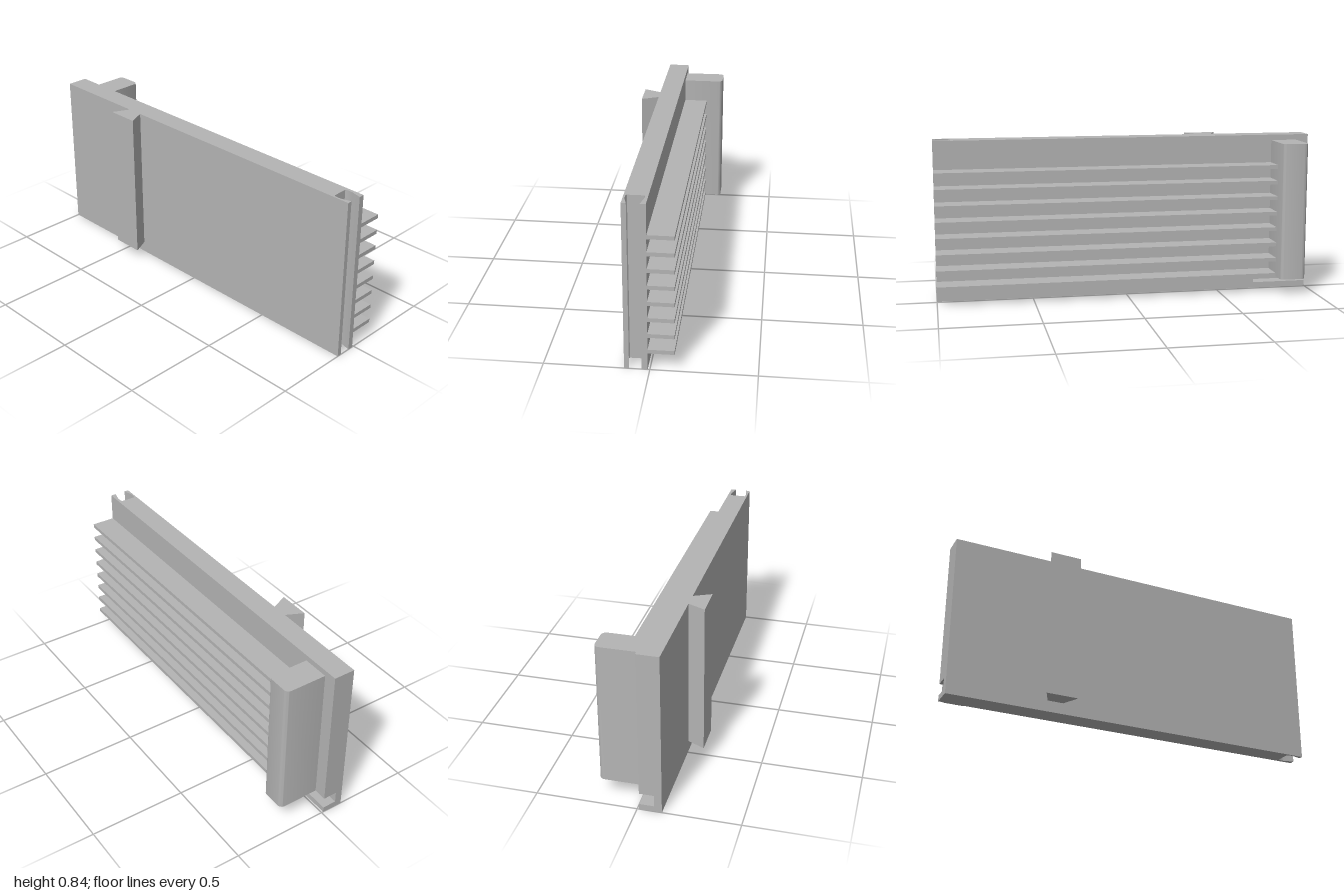
import * as THREE from 'three';
import { toCreasedNormals } from 'three/addons/utils/BufferGeometryUtils.js';

const grey = new THREE.MeshStandardMaterial({ color: 0xb4b4b4 });
grey.name = 'plain grey';

const IN = -0.12, OUT = -0.01; // side faces of the main plate
const TOP = 0.84, NOTCH_Z = -0.71;

function outline(points) {
  return new THREE.Shape(points.map(([a, b]) => new THREE.Vector2(a, b)));
}

// Extrudes a plan drawn as (x, -z) upwards from y0 to y1
function upright(shape, y0, y1) {
  const g = new THREE.ExtrudeGeometry(shape, { depth: y1 - y0, bevelEnabled: false, curveSegments: 8 });
  g.rotateX(-Math.PI / 2);
  g.translate(0, y0, 0);
  return toCreasedNormals(g, 0.6);
}

export function createModel() {
  const model = new THREE.Group();
  model.name = 'finnedPanel';
  const add = (name, geometry) => {
    const mesh = new THREE.Mesh(geometry, grey);
    mesh.name = name;
    model.add(mesh);
    return mesh;
  };

  // Main plate with a dovetail slot down its front edge
  add('plate', upright(outline([
    [IN, -NOTCH_Z], [IN, -1], [-0.097, -1], [-0.111, -0.945], [-0.111, -0.918], [-0.105, -0.91],
    [-0.03, -0.91], [-0.025, -0.918], [-0.025, -0.945], [-0.038, -1], [OUT, -1], [OUT, -NOTCH_Z],
  ]), 0, TOP));

  // Rear end of the plate, notched near the bottom on the fin side
  const rear = new THREE.ExtrudeGeometry(outline([
    [IN, 0], [OUT, 0], [OUT, 0.03], [-0.083, 0.03], [-0.083, 0.09], [OUT, 0.09], [OUT, TOP], [IN, TOP],
  ]), { depth: NOTCH_Z + 1, bevelEnabled: false });
  rear.translate(0, 0, -1);
  add('notchedPlateEnd', rear);

  // Dovetail rail on the flat side
  add('dovetailRail', upright(outline([
    [IN, 0.485], [-0.208, 0.526], [-0.208, 0.36], [IN, 0.402],
  ]), 0.058, TOP));

  // Stop block with rounded outer edges
  const r = 0.025, x = 0.205, z0 = 0.795, z1 = 0.932;
  const block = new THREE.Shape();
  block.moveTo(OUT, z0);
  block.lineTo(x - r, z0);
  block.absarc(x - r, z0 + r, r, -Math.PI / 2, 0, false);
  block.absarc(x - r, z1 - r, r, 0, Math.PI / 2, false);
  block.lineTo(OUT, z1);
  add('stopBlock', upright(block, 0.09, 0.811));

  // Row of thin horizontal fins
  const fin = new THREE.BoxGeometry(0.125, 0.02, 1.795);
  for (let i = 0; i < 8; i++) {
    add('fin' + (i + 1), fin).position.set(0.0525, 0.097 + i * 0.0835, 0.1025);
  }
  return model;
}
